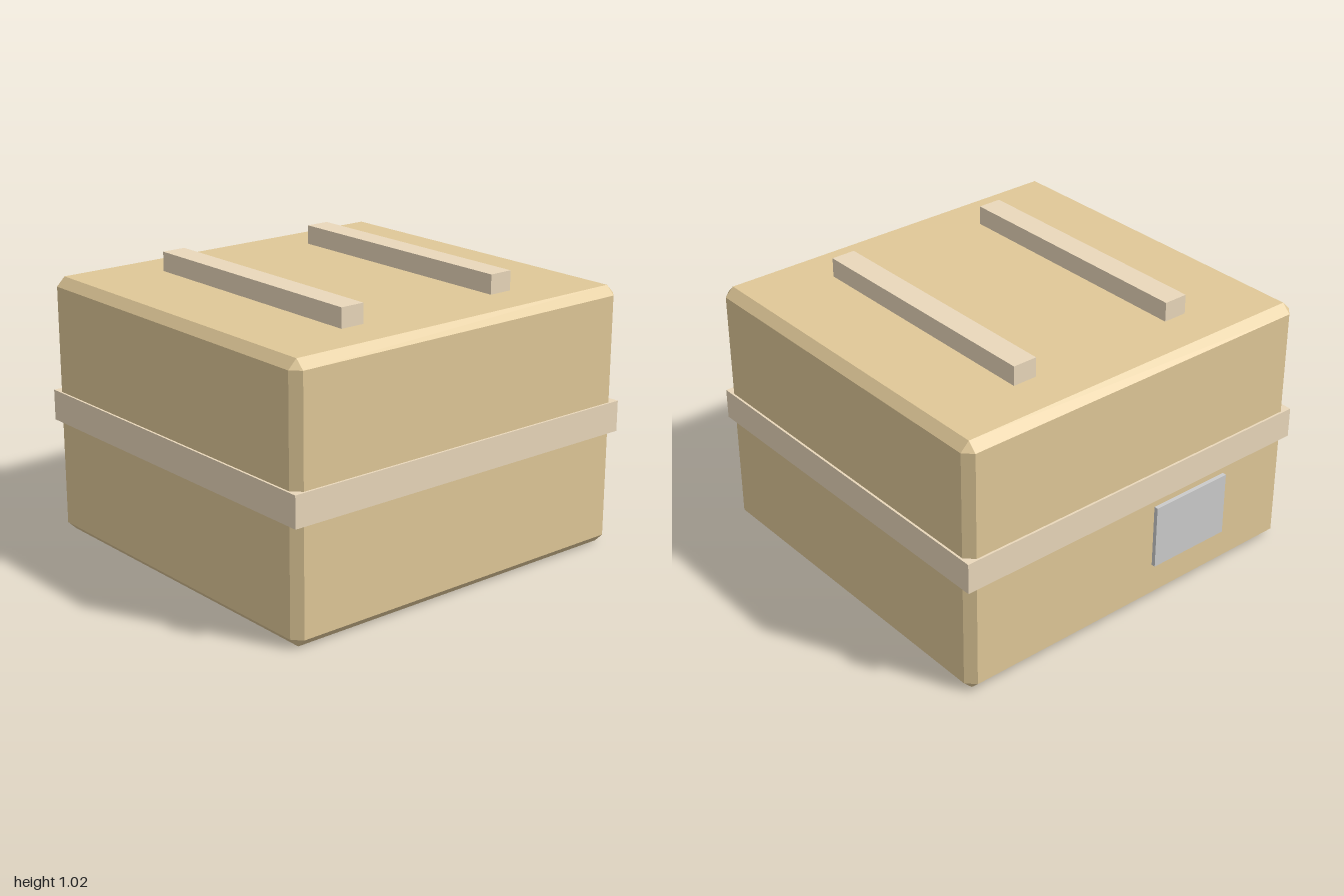
import * as THREE from 'three';
import { ConvexGeometry } from 'three/addons/geometries/ConvexGeometry.js';

const mat = (color) => new THREE.MeshStandardMaterial({ color, flatShading: true });

// Box with every edge and corner cut by a single flat chamfer
function chamferedBox(w, h, d, c) {
  const points = [];
  for (const x of [-w / 2, w / 2])
    for (const y of [-h / 2, h / 2])
      for (const z of [-d / 2, d / 2])
        for (const keep of [0, 1, 2]) {
          const p = [x, y, z].map((v, i) => (i === keep ? v : v - Math.sign(v) * c));
          points.push(new THREE.Vector3(...p));
        }
  return new ConvexGeometry(points);
}

export function createModel() {
  const model = new THREE.Group();
  const crate = new THREE.Group();
  crate.name = 'crate';
  crate.rotation.y = THREE.MathUtils.degToRad(40);
  model.add(crate);

  const tan = mat(0xe0c898);
  const tape = mat(0xead8bb);
  const grey = mat(0xcccccc);

  function add(name, geometry, material, x, y, z) {
    const mesh = new THREE.Mesh(geometry, material);
    mesh.name = name;
    mesh.position.set(x, y, z);
    crate.add(mesh);
  }

  // Main body
  add('body', chamferedBox(1.438, 0.95, 1.364, 0.032), tan, 0, 0.475, 0);

  // Band around the middle
  add('band', new THREE.BoxGeometry(1.454, 0.112, 1.38), tape, 0, 0.475, 0);

  // Two slats on the lid
  for (const side of [-1, 1]) {
    add(side < 0 ? 'rightSlat' : 'leftSlat', new THREE.BoxGeometry(0.091, 0.075, 0.98), tape, side * 0.33, 0.983, 0);
  }

  // Plate on the back face
  add('plate', new THREE.BoxGeometry(0.327, 0.24, 0.03), grey, -0.247, 0.27, -0.682);

  return model;
}
